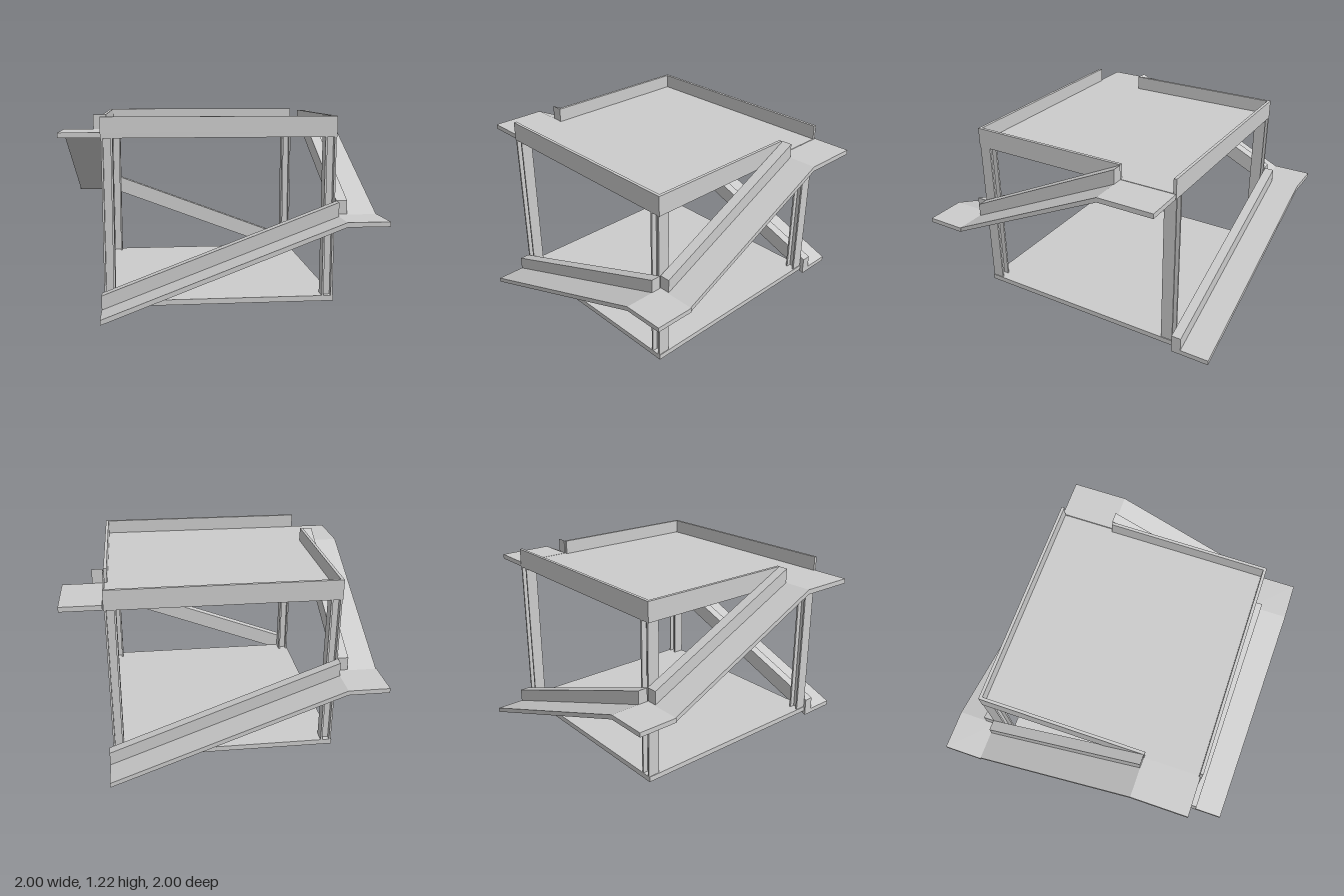
import * as THREE from 'three';

const material = new THREE.MeshStandardMaterial({ color: 0xcccccc, flatShading: true });

function add(parent, name, geometry) {
  const mesh = new THREE.Mesh(geometry, material);
  mesh.name = name;
  parent.add(mesh);
  return mesh;
}

// Box given by its minimum and maximum on each axis
function box(parent, name, [x0, x1], [y0, y1], [z0, z1]) {
  const mesh = add(parent, name, new THREE.BoxGeometry(x1 - x0, y1 - y0, z1 - z0));
  mesh.position.set((x0 + x1) / 2, (y0 + y1) / 2, (z0 + z1) / 2);
  return mesh;
}

// Side profile extruded sideways
function prism(parent, name, points, depth) {
  const shape = new THREE.Shape(points.map(([x, y]) => new THREE.Vector2(x, y)));
  return add(parent, name, new THREE.ExtrudeGeometry(shape, { depth, bevelEnabled: false }));
}

// H-section post with its flanges facing sideways
function column(parent, x, z) {
  const post = new THREE.Group();
  post.name = 'column';
  const h = [0.065, 1.09];
  for (const s of [-1, 1]) {
    const c = s * 0.029;
    box(post, 'columnFlange', [c - 0.006, c + 0.006], h, [-0.04, 0.04]);
  }
  box(post, 'columnWeb', [-0.023, 0.023], h, [-0.006, 0.006]);
  post.position.set(x, 0, z);
  parent.add(post);
}

// Half of the ramps: front flight with landing, then side flight up to the deck
function rampRun() {
  const run = new THREE.Group();
  run.name = 'rampRun';

  const lower = prism(run, 'lowerRamp', [
    [-0.75, 0], [0.735, 0.565], [1, 0.565], [1, 0.595], [0.735, 0.595], [-0.75, 0.032],
  ], 0.26);
  lower.position.z = 0.74;
  const lowerWall = prism(run, 'lowerRampParapet', [
    [-0.75, 0.032], [0.735, 0.595], [0.735, 0.685], [-0.75, 0.122],
  ], 0.065);
  lowerWall.position.z = 0.74;

  const upper = prism(run, 'upperRamp', [
    [-0.74, 0.565], [0.36, 1.093], [0.73, 1.093], [0.73, 1.125], [0.36, 1.125], [-0.74, 0.595],
  ], 0.26);
  const upperWall = prism(run, 'upperRampParapet', [
    [-0.735, 0.597], [0.36, 1.125], [0.36, 1.22], [-0.735, 0.685],
  ], 0.07);
  for (const part of [upper, upperWall]) {
    part.rotation.y = Math.PI / 2;
    part.position.x = 0.735;
  }
  return run;
}

export function createModel() {
  const model = new THREE.Group();
  model.name = 'twoLevelRampDeck';

  // Slabs and columns
  const frame = new THREE.Group();
  frame.name = 'frame';
  frame.position.set(-0.005, 0, 0.004);
  const half = [-0.735, 0.735];
  box(frame, 'lowerSlab', half, [0.03, 0.065], half);
  box(frame, 'upperSlab', half, [1.09, 1.125], half);
  for (const x of [-0.695, 0.695]) for (const z of [-0.695, 0.695]) column(frame, x, z);

  // Roof parapets: full front and back, sides open where the ramps arrive
  for (const s of [0, 1]) {
    const walls = new THREE.Group();
    walls.name = 'roofParapet';
    box(walls, 'longParapet', half, [1.125, 1.22], [0.715, 0.735]);
    box(walls, 'sideParapet', [0.715, 0.735], [1.125, 1.22], [-0.36, 0.715]);
    walls.rotation.y = s * Math.PI;
    frame.add(walls);
  }
  model.add(frame);

  // Ramps repeat by a half turn
  for (const s of [0, 1]) {
    const run = rampRun();
    run.rotation.y = s * Math.PI;
    model.add(run);
  }
  return model;
}
